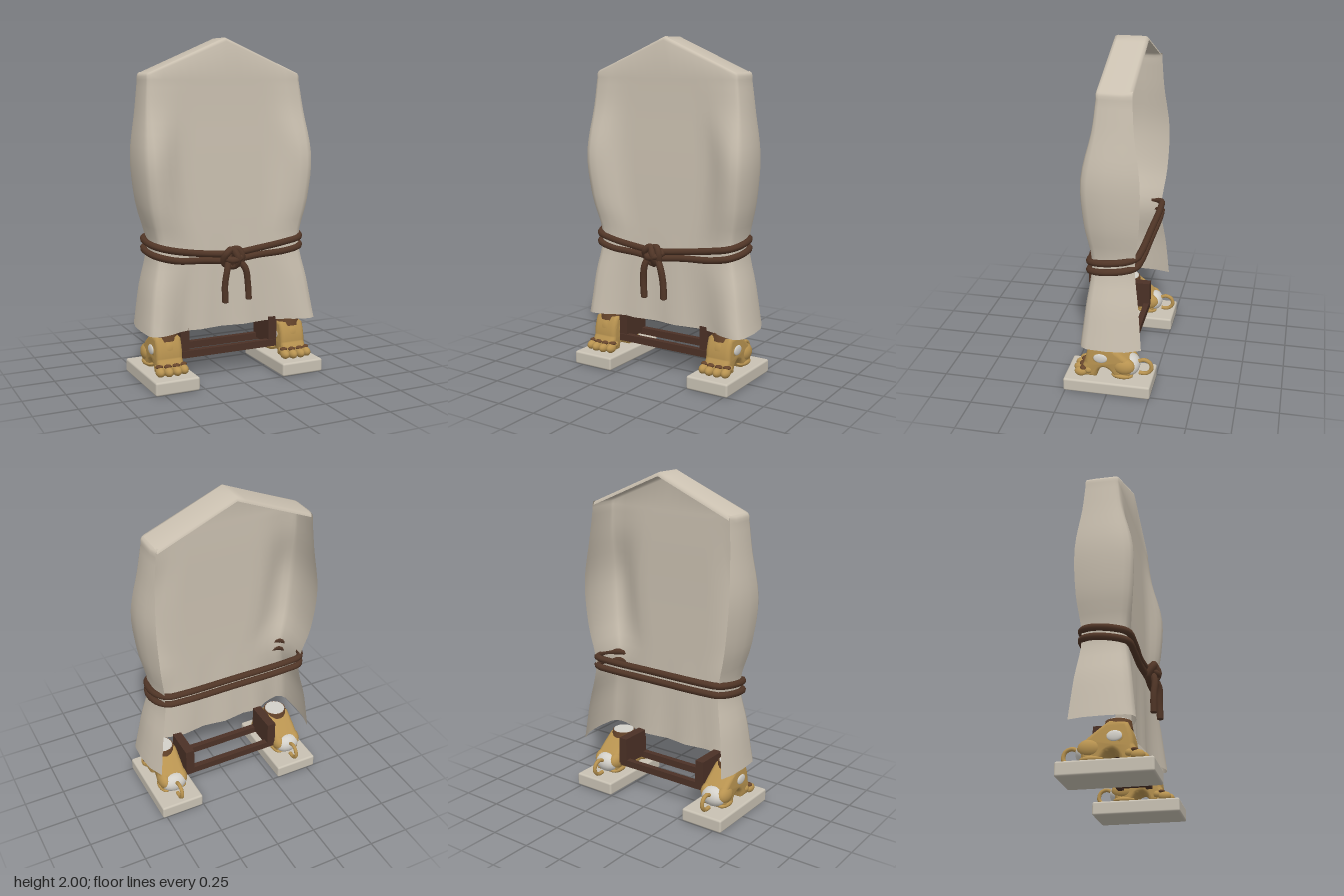
import * as THREE from 'three';
import { toCreasedNormals } from 'three/addons/utils/BufferGeometryUtils.js';
import { RoundedBoxGeometry } from 'three/addons/geometries/RoundedBoxGeometry.js';

const mat = (name, color, side = THREE.FrontSide) => {
  const m = new THREE.MeshStandardMaterial({ color, side });
  m.name = name;
  return m;
};

// Smooth surface through rows of equally many [x, y, z] points
function gridGeometry(rows) {
  const n = rows[0].length, index = [];
  for (let r = 0; r < rows.length - 1; r++)
    for (let c = 0; c < n - 1; c++) {
      const a = r * n + c, b = a + n;
      index.push(a, a + 1, b, b, a + 1, b + 1);
    }
  const g = new THREE.BufferGeometry();
  g.setAttribute('position', new THREE.Float32BufferAttribute(rows.flat(2), 3));
  g.setIndex(index);
  return toCreasedNormals(g, 1.05);
}

const MID = -0.0275;
const BACK = -0.135;
const roofY = x => 2 - 0.2 * Math.abs(x - MID) / 0.4875;
const { lerp, clamp } = THREE.MathUtils;

// Plan of the cloth at one height: a U, open at the back, with padded front corners
function clothPlan(xl, xr, zf, zc, zb, sway) {
  const pad = clamp((zf - 0.06) / 0.08, 0, 1);
  const half = (x, s, tuck) => [
    [x + s * (0.012 + tuck * (BACK - zb)), zb],
    [x + s * 0.3 * tuck * (BACK - zb), lerp(zb, zf, 0.25)],
    [x, lerp(zb, zf, 0.55)],
    [x + s * lerp(0.002, 0.006, pad), zf - lerp(0.02, 0.045, pad)],
    [x + s * lerp(0.007, 0.022, pad), zf - lerp(0.006, 0.014, pad)],
    [x + s * lerp(0.022, 0.055, pad), zf],
    [x + s * 0.1, lerp(zf, zc, 0.1)],
    [x + s * 0.15, lerp(zf, zc, 0.36)],
    [x + s * 0.2, lerp(zf, zc, 0.76)],
    [x + s * 0.26, zc],
  ];
  const mid = [];
  for (let i = 1; i < 8; i++) {
    const x = lerp(xl + 0.26, xr - 0.26, i / 8);
    mid.push([x, zc + sway * Math.sin(x * 22)]);
  }
  return [...half(xl, 1, 0.2), ...mid, ...half(xr, -1, 0.6).reverse()];
}

export function createModel() {
  const model = new THREE.Group();
  model.name = 'drapedStandModel';
  const cloth = mat('cloth', 0xcac0b0, THREE.DoubleSide);
  const stone = mat('stone', 0xc8c1b3);
  const ropeMat = mat('rope', 0x513627);
  const wood = mat('wood', 0x4b3126);
  const gold = mat('gold', 0xb89350);
  const white = mat('white', 0xd3d0c9);
  const brown = mat('brown', 0x67452b);

  const add = (name, geo, material, pos = [0, 0, 0], scale = [1, 1, 1], parent = model) => {
    const m = new THREE.Mesh(geo, material);
    m.name = name;
    m.position.set(...pos);
    m.scale.set(...scale);
    parent.add(m);
    return m;
  };
  const tube = (name, pts, r, material, closed = false, parent = model) =>
    add(name, new THREE.TubeGeometry(
      new THREE.CatmullRomCurve3(pts.map(p => new THREE.Vector3(...p)), closed, 'centripetal'),
      pts.length * 8, r, 8, closed), material, undefined, undefined, parent);

  // Cloth: height, left x, right x, front corner z, front centre z, back z
  const levels = [
    [0.31, -0.545, 0.552, 0.155, 0.09, -0.2],
    [0.55, -0.515, 0.51, 0.128, 0.088, -0.178],
    [0.8, -0.47, 0.458, 0.098, 0.085, -0.15],
    [1.05, -0.53, 0.505, 0.135, 0.08, -0.177],
    [1.32, -0.557, 0.525, 0.145, 0.073, -0.182],
    [1.58, -0.532, 0.487, 0.085, 0.065, -0.148],
    [1.76, -0.515, 0.46, 0.062, 0.062, BACK],
  ];
  const curveX = new THREE.CatmullRomCurve3(levels.map(l => new THREE.Vector3(l[1], l[0], l[2])), false, 'catmullrom');
  const curveZ = new THREE.CatmullRomCurve3(levels.map(l => new THREE.Vector3(l[3], l[4], l[5])), false, 'catmullrom');
  const rows = [];
  for (let i = 0; i <= 24; i++) {
    const a = curveX.getPoint(i / 24), b = curveZ.getPoint(i / 24);
    const sway = 0.01 * Math.max(0, 1 - i / 9);
    rows.push(clothPlan(a.x, a.z, b.x, b.y, b.z, sway).map(([x, z]) => [x, a.y, z]));
  }
  // Rounded gable edge
  const slab = clothPlan(-0.515, 0.46, 0.062, 0.062, BACK, 0);
  for (const [inset, drop] of [[0, 0.022], [0.006, 0.007], [0.02, 0]])
    rows.push(slab.map(([x, z]) => {
      const nx = MID + (x - MID) * (1 - inset / 0.4875);
      return [nx, roofY(x) - drop, z > 0 ? z - inset : z];
    }));
  add('clothDrape', gridGeometry(rows), cloth);

  // Gable top, rolled over at the back edge
  const ridge = rows[rows.length - 1].slice(2, -2);
  const roof = [[0.042, 0], [BACK + 0.018, 0], [BACK + 0.005, 0.007], [BACK, 0.022]]
    .map(([z, drop]) => ridge.map(([x, y]) => [x, y - drop, z]));
  add('clothTop', gridGeometry(roof), cloth);

  // Belt of two strands
  for (const [name, dy, front] of [['upperBelt', 0, 0.755], ['lowerBelt', -0.055, 0.715]])
    tube(name, [
      [-0.03, front, 0.135], [-0.2, front + 0.01, 0.122], [-0.36, 0.79 + dy, 0.122], [-0.455, 0.812 + dy, 0.107],
      [-0.494, 0.825 + dy, 0.03], [-0.492, 0.84 + dy, -0.09], [-0.455, 0.845 + dy, -0.15], [-0.36, 0.845 + dy, -0.163],
      [0, 0.845 + dy, -0.165],
      [0.33, 0.845 + dy, -0.163], [0.42, 0.845 + dy, -0.15], [0.466, 0.84 + dy, -0.09], [0.472, 0.825 + dy, 0.03],
      [0.432, 0.812 + dy, 0.107], [0.33, 0.795 + dy, 0.122], [0.15, front + 0.015, 0.122],
    ], 0.02, ropeMat, true);

  // Knot and hanging tails
  tube('knotLoopLeft', [[-0.085, 0.71, 0.15], [-0.08, 0.765, 0.18], [-0.045, 0.785, 0.175],
    [-0.015, 0.74, 0.195], [-0.02, 0.69, 0.17], [-0.06, 0.69, 0.15]], 0.021, ropeMat, true);
  tube('knotLoopRight', [[-0.05, 0.715, 0.16], [-0.05, 0.765, 0.15], [-0.005, 0.785, 0.17],
    [0.015, 0.75, 0.18], [0.005, 0.7, 0.17]], 0.021, ropeMat, true);
  tube('knotBand', [[-0.09, 0.74, 0.15], [-0.05, 0.725, 0.19], [0, 0.735, 0.19], [0.02, 0.75, 0.14]], 0.02, ropeMat);
  for (const [name, pts] of [
    ['tailRight', [[-0.06, 0.73, 0.165], [-0.08, 0.67, 0.185], [-0.092, 0.58, 0.18], [-0.088, 0.48, 0.178]]],
    ['tailLeft', [[0, 0.72, 0.17], [0.035, 0.67, 0.19], [0.052, 0.58, 0.188], [0.057, 0.49, 0.19]]],
  ]) {
    tube(name, pts, 0.02, ropeMat);
    add(name + 'End', new THREE.SphereGeometry(0.02, 10, 6), ropeMat, pts[3], [1, 0.4, 1]);
  }

  // Wooden frame between the feet
  for (const x of [-0.307, 0.27])
    add('framePost', new THREE.BoxGeometry(0.055, 0.17, 0.2), wood, [x, 0.245, -0.01]);
  for (const z of [-0.09, 0.08])
    add('frameBar', new THREE.BoxGeometry(0.62, 0.042, 0.035), wood, [-0.018, 0.167, z]);

  // Side outline of a crouching animal leg, u = z
  const outline = new THREE.Shape();
  outline.moveTo(0.14, 0.1);
  outline.quadraticCurveTo(0.145, 0.13, 0.12, 0.16);
  outline.quadraticCurveTo(0.12, 0.22, 0.095, 0.27);
  outline.lineTo(0.02, 0.28);
  outline.quadraticCurveTo(-0.04, 0.24, -0.11, 0.18);
  outline.quadraticCurveTo(-0.125, 0.15, -0.11, 0.105);
  outline.lineTo(-0.05, 0.1);
  outline.quadraticCurveTo(-0.02, 0.165, 0.035, 0.165);
  outline.quadraticCurveTo(0.08, 0.15, 0.09, 0.1);
  const legGeo = new THREE.ExtrudeGeometry(outline, {
    depth: 0.1, bevelThickness: 0.03, bevelSize: 0.022, bevelSegments: 4, curveSegments: 8,
  });
  legGeo.translate(0, 0, -0.05);
  legGeo.rotateY(-Math.PI / 2);
  const leg = toCreasedNormals(legGeo, 0.9);
  const ball = new THREE.SphereGeometry(1, 18, 12);

  for (const [side, x] of [['right', -0.42], ['left', 0.39]]) {
    // Stone plinth
    add(side + 'Plinth', new RoundedBoxGeometry(0.27, 0.08, 0.515, 3, 0.012), stone, [x, 0.04, 0.0025]);
    const foot = new THREE.Group();
    foot.name = side + 'Foot';
    foot.position.x = x;
    model.add(foot);
    const part = (name, m, pos, scale, geo = ball) => add(name, geo, m, pos, scale, foot);
    part('leg', gold, [0, 0, 0], [1, 1, 1], leg);
    part('shin', gold, [0, 0.21, 0.07], [0.086, 0.085, 0.068]);
    part('paw', gold, [0, 0.12, 0.12], [0.092, 0.042, 0.045]);
    // Toes with brown knuckles
    for (const [tx, tz] of [[-0.073, 0.165], [-0.026, 0.178], [0.026, 0.178], [0.073, 0.165]]) {
      part('toe', gold, [tx, 0.107, tz], [0.026, 0.028, 0.038]);
      part('toeKnuckle', brown, [tx, 0.135, tz - 0.016], [0.024, 0.011, 0.02]);
    }
    // Brown cuff with pale top
    part('cuff', brown, [0, 0.29, 0.05], [1, 1, 1], new THREE.CylinderGeometry(0.07, 0.077, 0.045, 16));
    part('cuffTop', white, [0, 0.314, 0.05], [1, 1, 1], new THREE.CylinderGeometry(0.062, 0.066, 0.008, 16));
    // Haunches, hind paws and pale patches
    for (const s of [-1, 1]) {
      part('haunch', gold, [s * 0.055, 0.158, -0.09], [0.04, 0.052, 0.066]);
      part('hindPaw', gold, [s * 0.055, 0.1, -0.08], [0.035, 0.021, 0.065]);
      part('sidePatch', white, [s * 0.084, 0.212, 0.045], [0.009, 0.029, 0.042]);
    }
    part('rumpPatch', white, [0, 0.146, -0.12], [0.082, 0.06, 0.056]);
    // Curled tail
    tube('tail', [[0, 0.165, -0.155], [0, 0.182, -0.2], [0, 0.165, -0.235], [0, 0.125, -0.243], [0, 0.095, -0.215], [0, 0.092, -0.17]],
      0.012, gold, false, foot);
  }
  return model;
}
